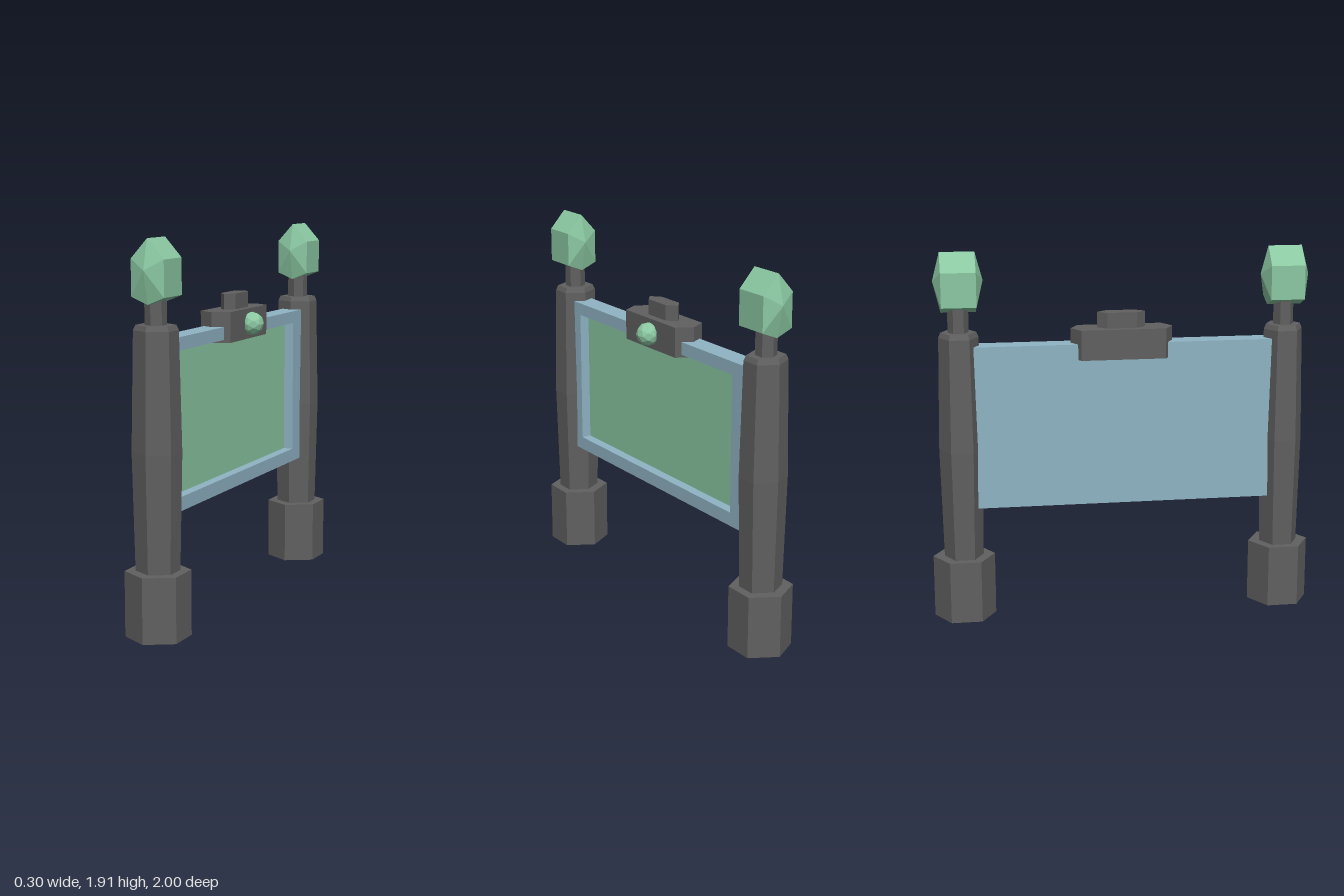
import * as THREE from 'three';
import { ConvexGeometry } from 'three/addons/geometries/ConvexGeometry.js';

const mat = (color) => new THREE.MeshStandardMaterial({ color, flatShading: true });
const stone = mat(0x606060);
const crystal = mat(0x8bc8a2);
const blue = mat(0x8fb4c4);
const CX = -0.012; // shared axis of the posts and board

function add(parent, name, geometry, material, x = 0, y = 0, z = 0) {
  const mesh = new THREE.Mesh(geometry, material);
  mesh.name = name;
  mesh.position.set(x, y, z);
  parent.add(mesh);
  return mesh;
}

// Six-sided turned solid from [radius, height] pairs, corners on the z axis
function hexTurned(profile) {
  return new THREE.LatheGeometry(profile.map(([r, y]) => new THREE.Vector2(r, y)), 6);
}

// Upright slab with pointed ends along z
function pointedSlab(halfX, shoulderZ, tipZ, height) {
  const shape = new THREE.Shape([
    [halfX, -shoulderZ], [halfX, shoulderZ], [0, tipZ],
    [-halfX, shoulderZ], [-halfX, -shoulderZ], [0, -tipZ],
  ].map(([x, y]) => new THREE.Vector2(x, y)));
  return new THREE.ExtrudeGeometry(shape, { depth: height, bevelEnabled: false }).rotateX(-Math.PI / 2);
}

// Gem: six-sided prism along z with a pyramid on each end
function gemGeometry() {
  const points = [new THREE.Vector3(0, 0, 0.126), new THREE.Vector3(0, 0, -0.126)];
  const ring = [[0, 0.145], [0.086, 0.05], [0.086, -0.125], [0, -0.16], [-0.086, -0.125], [-0.086, 0.05]];
  for (const [x, y] of ring) {
    for (const z of [-0.088, 0.088]) points.push(new THREE.Vector3(x, y, z));
  }
  return new ConvexGeometry(points);
}

function buildPost(name) {
  const post = new THREE.Group();
  post.name = name;
  add(post, 'postBase', hexTurned([[0, 0], [0.16, 0], [0.16, 0.325], [0, 0.325]]), stone);
  const shaft = add(post, 'postShaft', hexTurned([
    [0.101, 0.32], [0.113, 0.9], [0.101, 1.48], [0.09, 1.505], [0, 1.505],
  ]), stone);
  shaft.scale.x = 1.08;
  add(post, 'postNeck', new THREE.CylinderGeometry(0.053, 0.053, 0.17, 6), stone, 0, 1.575, 0);
  add(post, 'gemFinial', gemGeometry(), crystal, 0.007, 1.765, 0.003);
  return post;
}

function buildBoard() {
  const board = new THREE.Group();
  board.name = 'board';
  const [y0, y1, back, panelX, front] = [0.59, 1.435, -0.07, -0.015, 0.042];

  // Solid backing behind the raised frame
  add(board, 'backing', new THREE.BoxGeometry(panelX - back, y1 - y0, 1.6), blue,
    (back + panelX) / 2, (y0 + y1) / 2, 0);

  // Raised frame; shape x runs along -z
  const rect = (Type, a, b, c, d) => new Type(
    [[a, b], [c, b], [c, d], [a, d]].map(([x, y]) => new THREE.Vector2(x, y)));
  const outline = rect(THREE.Shape, -0.8, y0, 0.8, y1);
  outline.holes.push(rect(THREE.Path, -0.706, 0.66, 0.654, 1.37));
  const frame = new THREE.ExtrudeGeometry(outline, { depth: front - panelX, bevelEnabled: false });
  add(board, 'frame', frame.rotateY(Math.PI / 2), blue, panelX, 0, 0);

  // Recessed sign face
  add(board, 'signPanel', new THREE.BoxGeometry(0.01, 0.72, 1.37), crystal, panelX, 1.015, 0.026);
  return board;
}

function buildCrest() {
  const crest = new THREE.Group();
  crest.name = 'crest';
  add(crest, 'crestBlock', pointedSlab(0.084, 0.217, 0.263, 0.155), stone, CX, 1.355, -0.008);
  add(crest, 'crestCap', pointedSlab(0.042, 0.075, 0.124, 0.08), stone, CX, 1.51, -0.011);
  add(crest, 'crestOrb', new THREE.IcosahedronGeometry(0.061, 1), crystal, 0.088, 1.432, -0.013);
  return crest;
}

export function createModel() {
  const model = new THREE.Group();
  model.name = 'signBoard';
  for (const side of [1, -1]) {
    const post = buildPost(side > 0 ? 'frontPost' : 'backPost');
    post.position.set(CX, 0, side * 0.84);
    model.add(post);
  }
  model.add(buildBoard(), buildCrest());
  return model;
}
